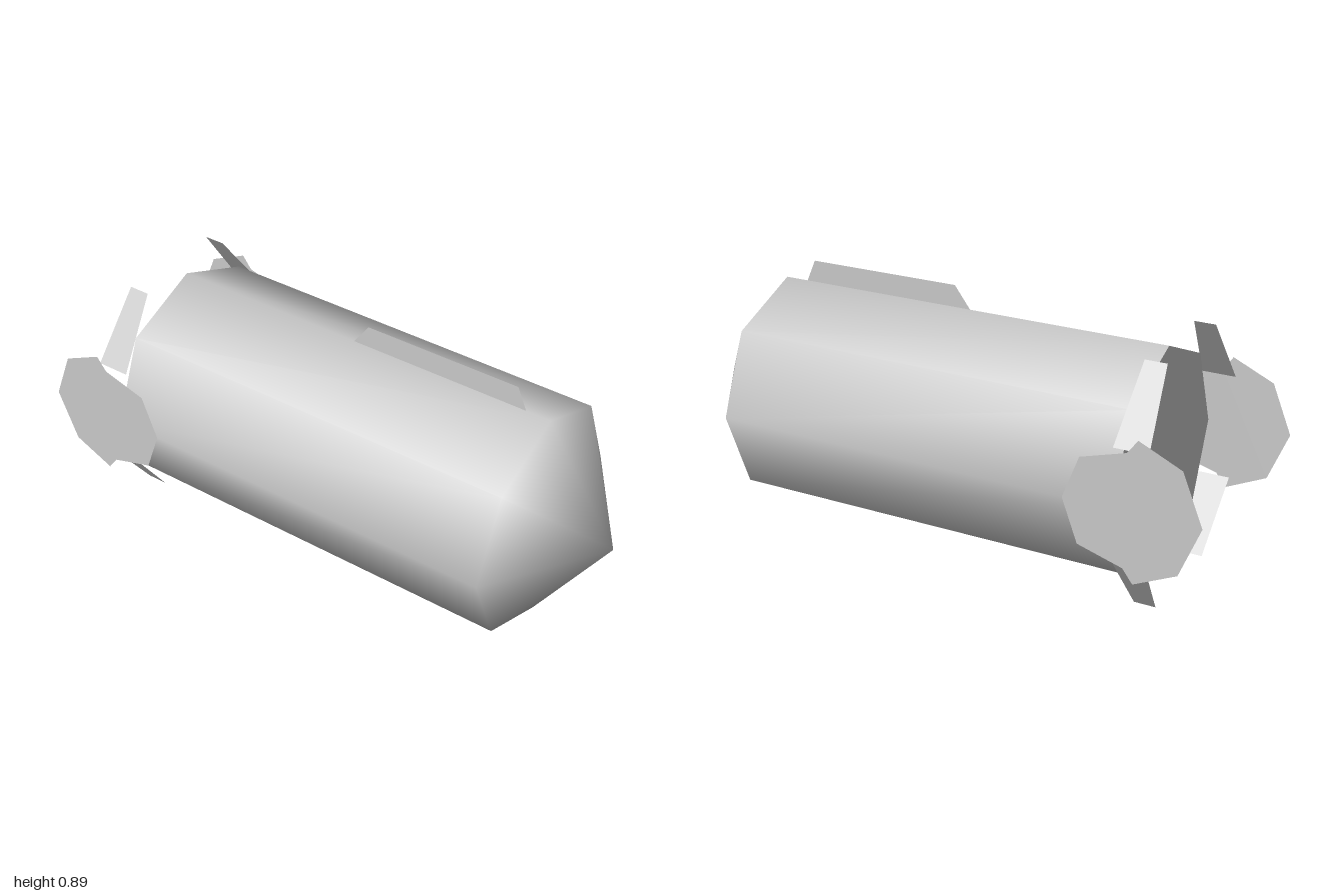
import * as THREE from 'three';
import { mergeVertices } from 'three/addons/utils/BufferGeometryUtils.js';

const RADIUS = 0.396, AXIS_Y = 0.417, REAR_Z = -0.71;

// Thin plate outlined by [z, y] points; xAt(y) places or leans it sideways
function plate(name, points, xAt, material) {
  const shape = new THREE.Shape(points.map(([z, y]) => new THREE.Vector2(z, y)));
  const geometry = new THREE.ShapeGeometry(shape);
  const pos = geometry.attributes.position;
  for (let i = 0; i < pos.count; i++) {
    const z = pos.getX(i), y = pos.getY(i);
    pos.setXYZ(i, xAt(y), y, z);
  }
  geometry.computeVertexNormals();
  const mesh = new THREE.Mesh(geometry, material);
  mesh.name = name;
  return mesh;
}

export function createModel() {
  const model = new THREE.Group();
  model.name = 'finnedCapsule';
  const grey = new THREE.MeshStandardMaterial({ color: 0xc8c8c8, side: THREE.DoubleSide });
  grey.name = 'light grey';

  // Eight-sided hull with pointed nose, smooth across all edges
  const profile = [[RADIUS, REAR_Z], [RADIUS, 0.74], [0, 1]].map(([r, z]) => new THREE.Vector2(r, z));
  let hullGeometry = new THREE.LatheGeometry(profile, 8);
  hullGeometry.deleteAttribute('uv');
  hullGeometry.deleteAttribute('normal');
  hullGeometry = mergeVertices(hullGeometry);
  hullGeometry.computeVertexNormals();
  hullGeometry.rotateX(Math.PI / 2);
  const hull = new THREE.Mesh(hullGeometry, grey);
  hull.name = 'hull';
  hull.position.y = AXIS_Y;

  // Flat rear cap
  const cap = new THREE.Mesh(new THREE.CircleGeometry(RADIUS, 8), grey);
  cap.name = 'rearCap';
  cap.rotation.y = Math.PI;
  cap.position.set(0, AXIS_Y, REAR_Z);
  model.add(hull, cap);

  // Ridge plate along the top
  model.add(plate('topFin', [[0.655, 0.81], [0.62, 0.89], [0.06, 0.89], [0, 0.81]], () => 0, grey));

  for (const side of [1, -1]) {
    const sideName = side > 0 ? 'left' : 'right';

    // Upright side plate at the tail
    const upper = [[-0.54, 0], [-0.595, 0.147], [-0.75, 0.193], [-0.785, 0.24], [-0.93, 0.173], [-1, 0]];
    const lower = upper.slice(1, -1).reverse().map(([z, h]) => [z, -h]);
    const outline = [...upper, ...lower].map(([z, h]) => [z, AXIS_Y + h]);
    model.add(plate(sideName + 'SidePlate', outline, () => side * 0.398, grey));

    // Slanted tail fins above and below
    for (const v of [1, -1]) {
      const fin = [[-0.69, 0.185], [-0.712, 0.417], [-0.787, 0.417], [-0.808, 0.185]]
        .map(([z, h]) => [z, AXIS_Y + v * h]);
      const lean = (y) => side * (0.365 - (Math.abs(y - AXIS_Y) - 0.185) * 0.71);
      model.add(plate(sideName + (v > 0 ? 'UpperFin' : 'LowerFin'), fin, lean, grey));
    }
  }
  return model;
}
